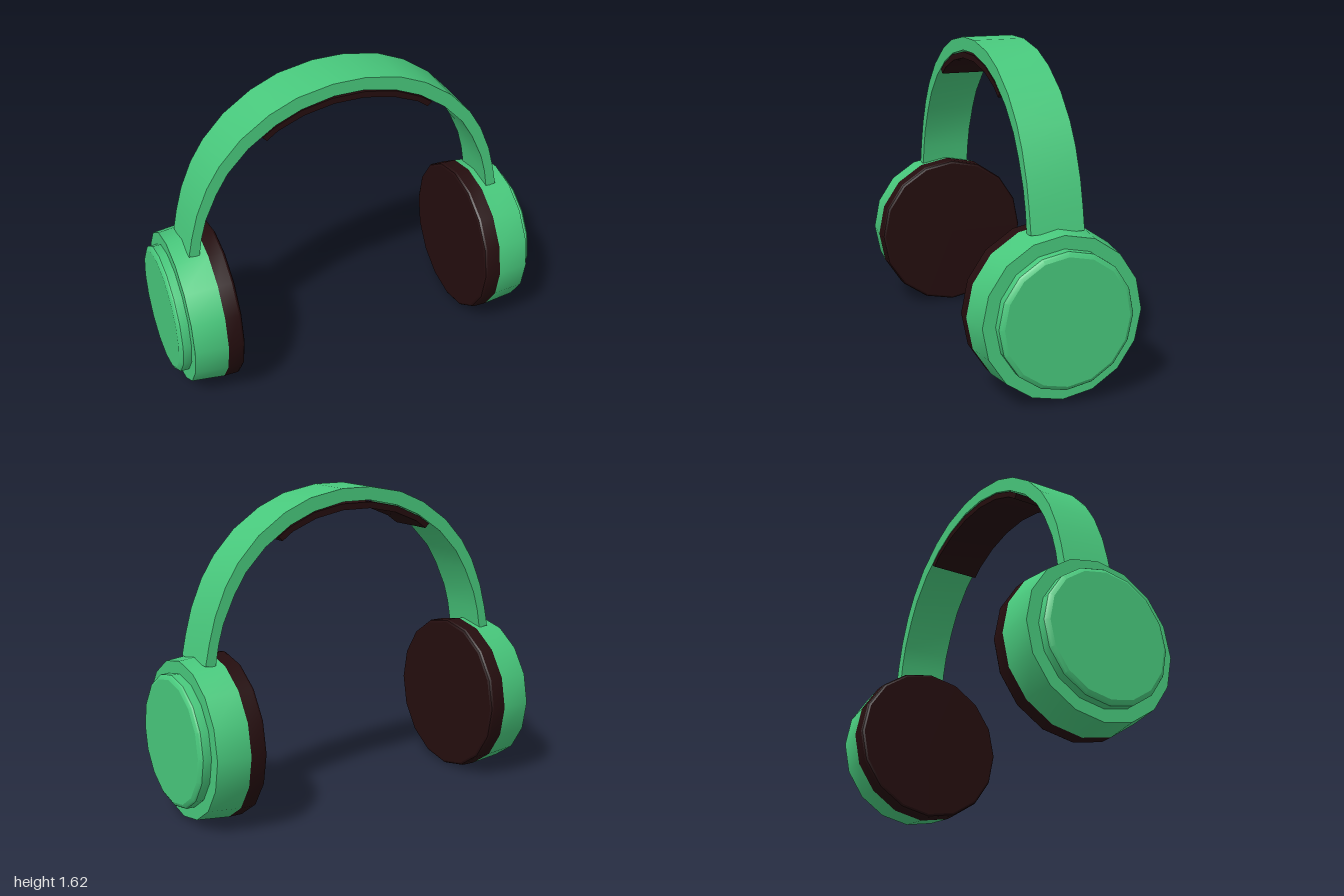
import * as THREE from 'three';
import { toCreasedNormals } from 'three/addons/utils/BufferGeometryUtils.js';

const CREASE = 0.45;
const BAND_WIDTH = 0.27;
const CUP_Y = 0.42;

// Right half of an arch, listed from the crown down, mirrored and extruded along z
function archGeometry(outer, inner) {
  const mirror = (pts) => pts.map(([x, y]) => [-x, y]);
  const outline = [
    ...mirror(outer).reverse(), ...outer,
    ...[...inner].reverse(), ...mirror(inner),
  ];
  const shape = new THREE.Shape(outline.map(([x, y]) => new THREE.Vector2(x, y)));
  const geometry = new THREE.ExtrudeGeometry(shape, { depth: BAND_WIDTH, bevelEnabled: false });
  geometry.translate(0, 0, -BAND_WIDTH / 2);
  return toCreasedNormals(geometry, CREASE);
}

// Sixteen-sided turned part lying along x; profile is [radius, x] from inside to outside
function turnedGeometry(profile) {
  const points = profile.map(([r, x]) => new THREE.Vector2(r, x));
  const geometry = new THREE.LatheGeometry(points, 16);
  geometry.rotateZ(-Math.PI / 2);
  return toCreasedNormals(geometry, CREASE);
}

export function createModel() {
  const green = new THREE.MeshStandardMaterial({ color: 0x48c87c });
  green.name = 'green plastic';
  const dark = new THREE.MeshStandardMaterial({ color: 0x240d0e });
  dark.name = 'dark padding';

  const model = new THREE.Group();
  model.name = 'headphones';
  const add = (parent, name, geometry, material) => {
    const mesh = new THREE.Mesh(geometry, material);
    mesh.name = name;
    parent.add(mesh);
  };

  // Headband arch
  add(model, 'headband', archGeometry(
    [[0.085, 1.625], [0.27, 1.59], [0.415, 1.527], [0.562, 1.425], [0.676, 1.302],
      [0.746, 1.19], [0.805, 1.05], [0.84, 0.92], [0.862, 0.812]],
    [[0.078, 1.558], [0.249, 1.521], [0.384, 1.463], [0.525, 1.366], [0.636, 1.25],
      [0.7, 1.145], [0.762, 1.01], [0.79, 0.91], [0.808, 0.805]],
  ), green);

  // Thin cushion hanging just under the crown
  add(model, 'headbandCushion', archGeometry(
    [[0.086, 1.548], [0.249, 1.516], [0.39, 1.453], [0.452, 1.41]],
    [[0.081, 1.516], [0.238, 1.485], [0.372, 1.43], [0.43, 1.388]],
  ), dark);

  // Ear cups: cushion, tapered shell and raised outer cap
  const cushion = turnedGeometry([[0, 0.682], [0.405, 0.682], [0.415, 0.687], [0.42, 0.697], [0.42, 0.77]]);
  const shell = turnedGeometry([[0.42, 0.77], [0.402, 0.94], [0, 0.94]]);
  const cap = turnedGeometry([[0.338, 0.94], [0.338, 0.983], [0.332, 0.991], [0.315, 1], [0, 1]]);
  for (const [side, turn] of [['left', 0], ['right', Math.PI]]) {
    const cup = new THREE.Group();
    cup.name = `${side}EarCup`;
    cup.position.y = CUP_Y;
    cup.rotation.y = turn;
    add(cup, `${side}EarCushion`, cushion, dark);
    add(cup, `${side}CupShell`, shell, green);
    add(cup, `${side}CupCap`, cap, green);
    model.add(cup);
  }
  return model;
}
